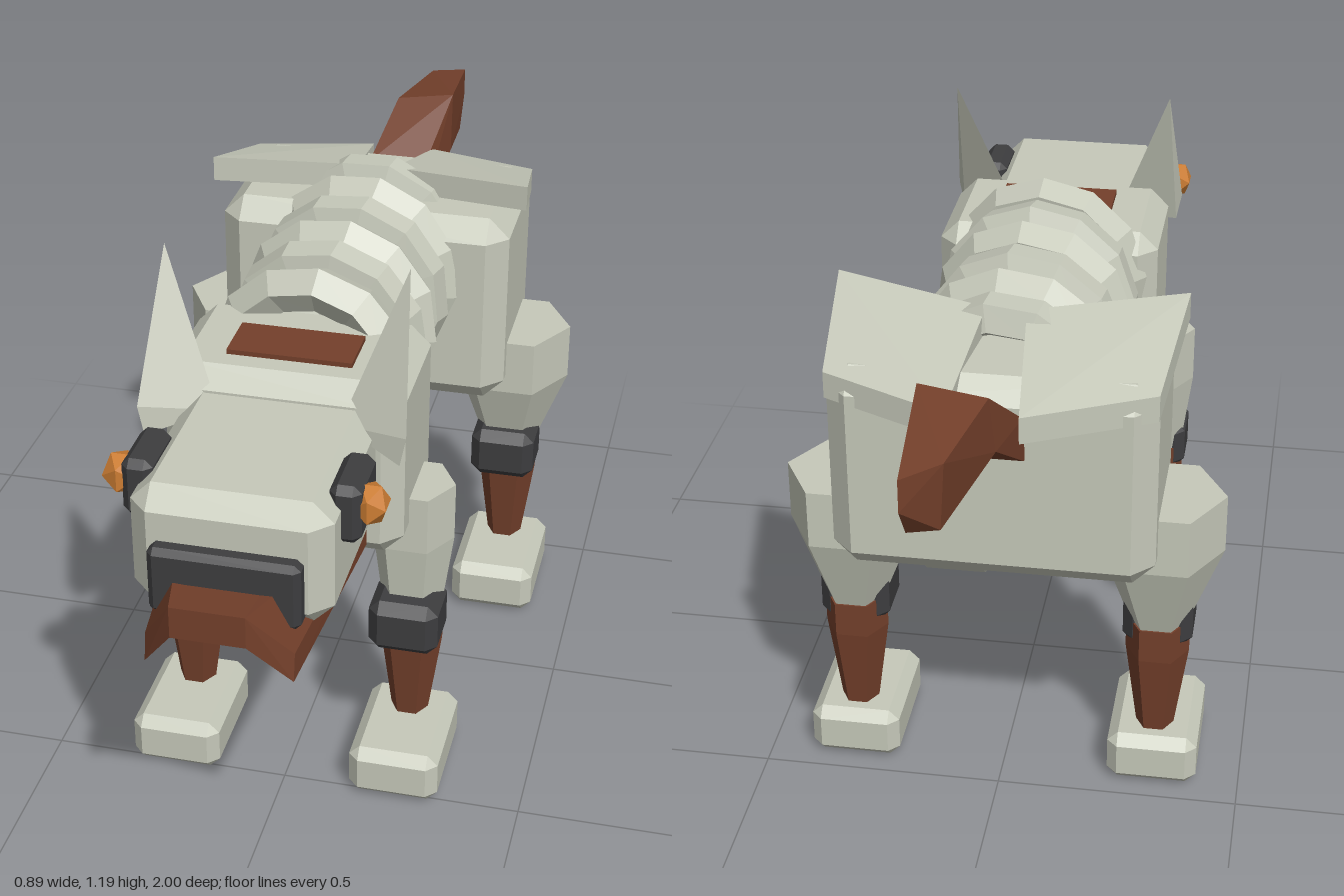
import * as THREE from 'three';
import { ConvexGeometry } from 'three/addons/geometries/ConvexGeometry.js';

const makeMaterial = (name, color) =>
  Object.assign(new THREE.MeshStandardMaterial({ color, flatShading: true }), { name });

// Convex solid through a few corner points; side = -1 mirrors it in x
function hull(points, side = 1) {
  return new ConvexGeometry(points.map(([x, y, z]) => new THREE.Vector3(x * side, y, z)));
}

// Box between two corners with chamfered edges
function chamferBox(x0, x1, y0, y1, z0, z1, c) {
  const pts = [];
  for (const sx of [0, 1]) for (const sy of [0, 1]) for (const sz of [0, 1]) {
    const X = sx ? x1 : x0, Y = sy ? y1 : y0, Z = sz ? z1 : z0;
    const dx = sx ? -c : c, dy = sy ? -c : c, dz = sz ? -c : c;
    pts.push([X, Y + dy, Z + dz], [X + dx, Y, Z + dz], [X + dx, Y + dy, Z]);
  }
  return hull(pts);
}

// Helical spine wound along z
class Coil extends THREE.Curve {
  constructor(zStart, zEnd) {
    super();
    this.zStart = zStart;
    this.zEnd = zEnd;
  }
  getPoint(t, target = new THREE.Vector3()) {
    const z = THREE.MathUtils.lerp(this.zStart, this.zEnd, t);
    const a = ((z - 0.22) / 0.1135) * Math.PI * 2;
    return target.set(0.172 * Math.sin(a), 0.85 + 0.172 * Math.cos(a), z);
  }
}

export function createModel() {
  const root = new THREE.Group();
  root.name = 'robotDog';

  const shell = makeMaterial('paleShell', 0xc6c9ba);
  const rust = makeMaterial('rustBrown', 0x74402b);
  const dark = makeMaterial('darkRubber', 0x3d3d3f);
  const amber = makeMaterial('amberEye', 0xcc7d33);

  const add = (parent, name, geometry, material) => {
    const mesh = new THREE.Mesh(geometry, material);
    mesh.name = name;
    parent.add(mesh);
    return mesh;
  };

  // Body
  add(root, 'chest', chamferBox(-0.24, 0.24, 0.58, 0.96, 0.18, 0.5, 0.04), shell);
  add(root, 'hips', chamferBox(-0.32, 0.32, 0.55, 0.99, -0.575, -0.2, 0.045), shell);
  add(root, 'chestPanel', new THREE.BoxGeometry(0.25, 0.012, 0.115).translate(0, 0.964, 0.362), rust);
  add(root, 'springSpine', new THREE.TubeGeometry(new Coil(0.24, -0.41), 69, 0.048, 5, false), shell);

  // Head and muzzle
  add(root, 'head', chamferBox(-0.19, 0.19, 0.66, 0.915, 0.46, 0.87, 0.04), shell);
  add(root, 'muzzle', chamferBox(-0.143, 0.143, 0.68, 0.817, 0.78, 0.903, 0.012), dark);

  // Arched jaw: raised centre strip and two sloping sides
  const jaw = new THREE.Group();
  jaw.name = 'jaw';
  root.add(jaw);
  const centre = [];
  for (const x of [-0.07, 0.07]) {
    centre.push([x, 0.77, 1], [x, 0.705, 1], [x, 0.685, 0.53], [x, 0.635, 0.53]);
  }
  add(jaw, 'jawCentre', hull(centre), rust);
  for (const side of [1, -1]) {
    add(jaw, 'jawSide', hull([
      ...centre.slice(4),
      [0.14, 0.655, 0.93], [0.14, 0.6, 0.94], [0.18, 0.69, 0.53], [0.18, 0.635, 0.53],
    ], side), rust);
  }

  for (const side of [1, -1]) {
    // Eye with its housing
    const x0 = side * 0.195;
    add(root, 'eyeHousing', chamferBox(x0 - 0.03, x0 + 0.03, 0.8, 0.92, 0.642, 0.785, 0.015), dark);
    const eye = add(root, 'eye', new THREE.IcosahedronGeometry(0.044, 0), amber);
    eye.position.set(side * 0.235, 0.87, 0.74);
    eye.scale.x = 0.85;

    // Ear
    add(root, 'ear', hull([
      [0.238, 1.19, 0.43], [0.262, 0.905, 0.565], [0.25, 0.845, 0.565], [0.12, 0.88, 0.5],
    ], side), shell);

    // Sloping plate over the hip
    const plate = [[0.35, 1.06, -0.27], [0.32, 0.98, -0.55], [0.07, 0.965, -0.645], [0.04, 1.04, -0.35]];
    add(root, 'hipPlate', hull([
      ...plate, ...plate.map(([x, y, z]) => [x, y - 0.055, z]),
    ], side), shell);

    // Legs: hip radius r, centre (x, z), knee pad at kneeZ, foot at footZ
    const legs = [
      { name: 'frontLeg', x: 0.235, z: 0.338, r: 0.085, kneeZ: 0.378, footZ: 0.393 },
      { name: 'hindLeg', x: 0.317, z: -0.385, r: 0.13, kneeZ: -0.345, footZ: -0.33 },
    ];
    for (const { name, x, z, r, kneeZ, footZ } of legs) {
      const leg = new THREE.Group();
      leg.name = name;
      leg.position.set(side * x, 0, 0);
      root.add(leg);
      const hex = (part, top, bottom, y0, y1, material) => add(leg, part,
        new THREE.CylinderGeometry(top, bottom, y1 - y0, 6).rotateY(Math.PI / 2).translate(0, (y0 + y1) / 2, z),
        material);
      hex('upperLeg', r, r, 0.55, 0.675, shell);
      hex('lowerThigh', r, 0.062, 0.375, 0.55, shell);
      hex('shinTop', 0.066, 0.066, 0.3, 0.375, rust);
      hex('shin', 0.066, 0.038, 0.1, 0.3, rust);
      add(leg, 'kneePad', chamferBox(-0.072, 0.072, 0.315, 0.432, kneeZ - 0.07, kneeZ + 0.07, 0.022), dark);
      add(leg, 'foot', chamferBox(-0.094, 0.094, 0, 0.113, footZ - 0.133, footZ + 0.133, 0.022), shell);
    }
  }

  // Bent tail in two segments
  const tailBase = [[-0.07, 0.94, -0.6], [0.06, 0.94, -0.6], [-0.07, 0.83, -0.57], [0.06, 0.83, -0.57]];
  const tailBend = [[-0.03, 1.05, -0.73], [0.1, 1.07, -0.73], [-0.04, 0.935, -0.72], [0.1, 0.935, -0.72]];
  const tailTip = [[0.01, 1.04, -0.95], [0.08, 1.03, -1], [0.08, 0.965, -1], [0.02, 0.9, -0.94], [0.08, 0.895, -0.95]];
  add(root, 'tailRoot', hull([...tailBase, ...tailBend]), rust);
  add(root, 'tailEnd', hull([...tailBend, ...tailTip]), rust);

  return root;
}
